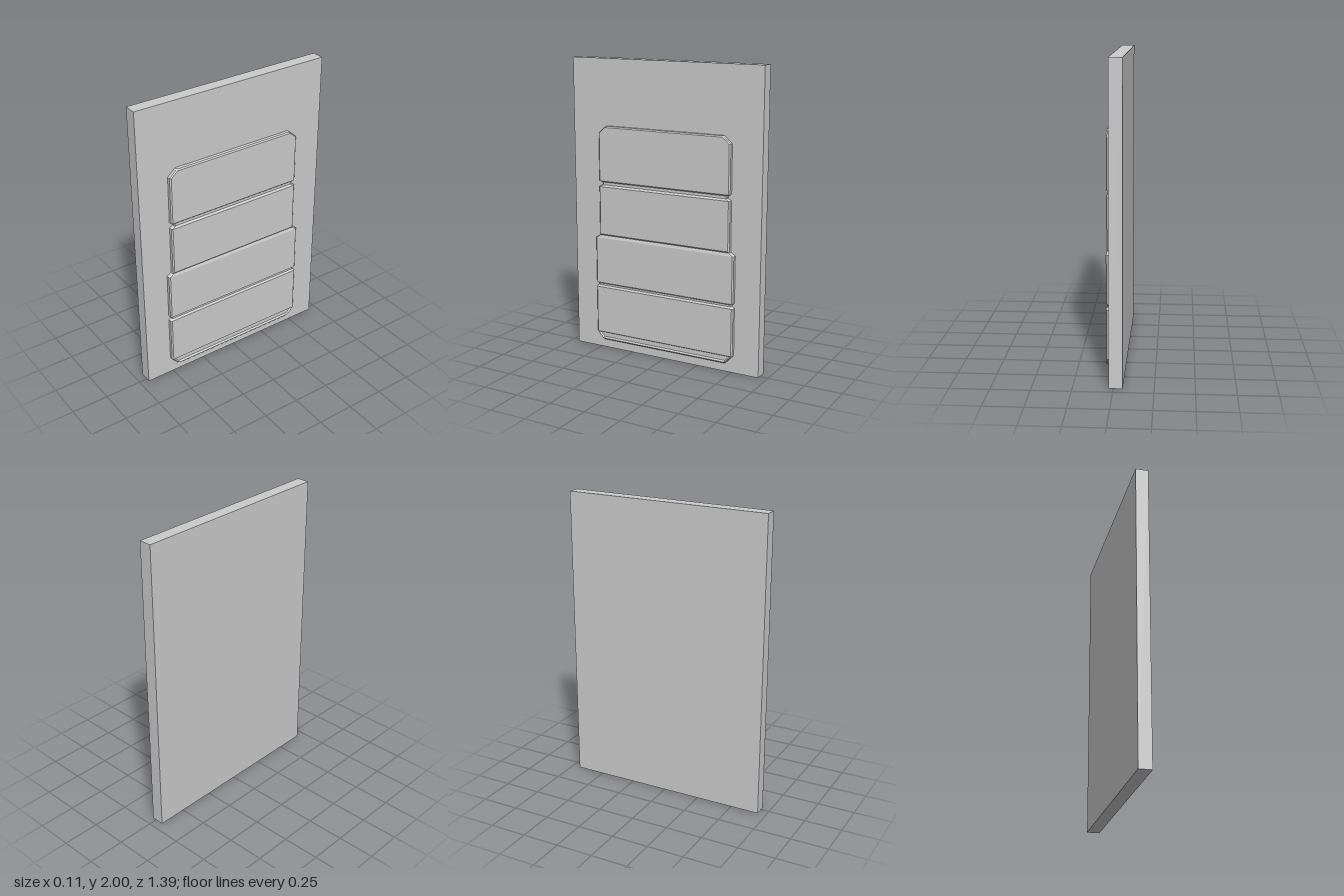
import * as THREE from 'three';

const BACK = 0.02, FACE = 0.057, BEVEL = 0.008;

// Panel rows from top to bottom: [y, half width, front x, recessed x of the middle]
const ROWS = [
  [1.557, 0.43, 0.05, 0.05],
  [1.549, 0.439, FACE, FACE],
  [1.508, 0.485, FACE, FACE],
  // upper groove
  [1.187, 0.485, FACE, FACE],
  [1.178, 0.465, 0.047, 0.047],
  [1.16, 0.461, 0.047, 0.047],
  [1.147, 0.485, FACE, FACE],
  // step to the wider lower half
  [0.82, 0.485, FACE, FACE],
  [0.811, 0.487, 0.05, 0.05],
  [0.792, 0.517, FACE, FACE],
  // lower groove
  [0.475, 0.517, FACE, FACE],
  [0.467, 0.504, 0.047, 0.047],
  [0.455, 0.504, 0.047, 0.047],
  [0.443, 0.517, FACE, FACE],
  // chamfered foot with a rimmed recess
  [0.12, 0.517, FACE, FACE],
  [0.113, 0.510, FACE, 0.046],
  [0.083, 0.482, FACE, 0.046],
  [0.074, 0.474, FACE, FACE],
  [0.065, 0.465, 0.05, 0.05],
];

// Lofts the panel through its horizontal cross-sections
function panelGeometry() {
  const positions = [], index = [], n = 8;
  for (const [y, w, front, middle] of ROWS) {
    const half = [[BACK, w], [front - BEVEL, w], [front, w - BEVEL], [middle, w - BEVEL - 0.01]];
    for (const [x, z] of half) positions.push(x, y, z);
    for (const [x, z] of half.slice().reverse()) positions.push(x, y, -z);
  }
  for (let r = 0; r < ROWS.length - 1; r++) {
    for (let j = 0; j < n - 1; j++) {
      const a = r * n + j, c = a + n;
      index.push(a, c, a + 1, a + 1, c, c + 1);
    }
  }
  // top and bottom caps
  const last = (ROWS.length - 1) * n;
  for (let j = 1; j < n - 1; j++) {
    index.push(0, j, j + 1, last, last + j + 1, last + j);
  }
  const geometry = new THREE.BufferGeometry();
  geometry.setAttribute('position', new THREE.Float32BufferAttribute(positions, 3));
  geometry.setIndex(index);
  const flat = geometry.toNonIndexed();
  flat.computeVertexNormals();
  return flat;
}

export function createModel() {
  const group = new THREE.Group();
  const material = new THREE.MeshStandardMaterial({ color: 0xcccccc, flatShading: true });

  // backing slab
  const slab = new THREE.Mesh(new THREE.BoxGeometry(0.084, 2, 1.386), material);
  slab.name = 'slab';
  slab.position.set(-0.015, 1, 0);
  group.add(slab);

  // raised grooved panel
  const panel = new THREE.Mesh(panelGeometry(), material);
  panel.name = 'raisedPanel';
  group.add(panel);

  return group;
}
